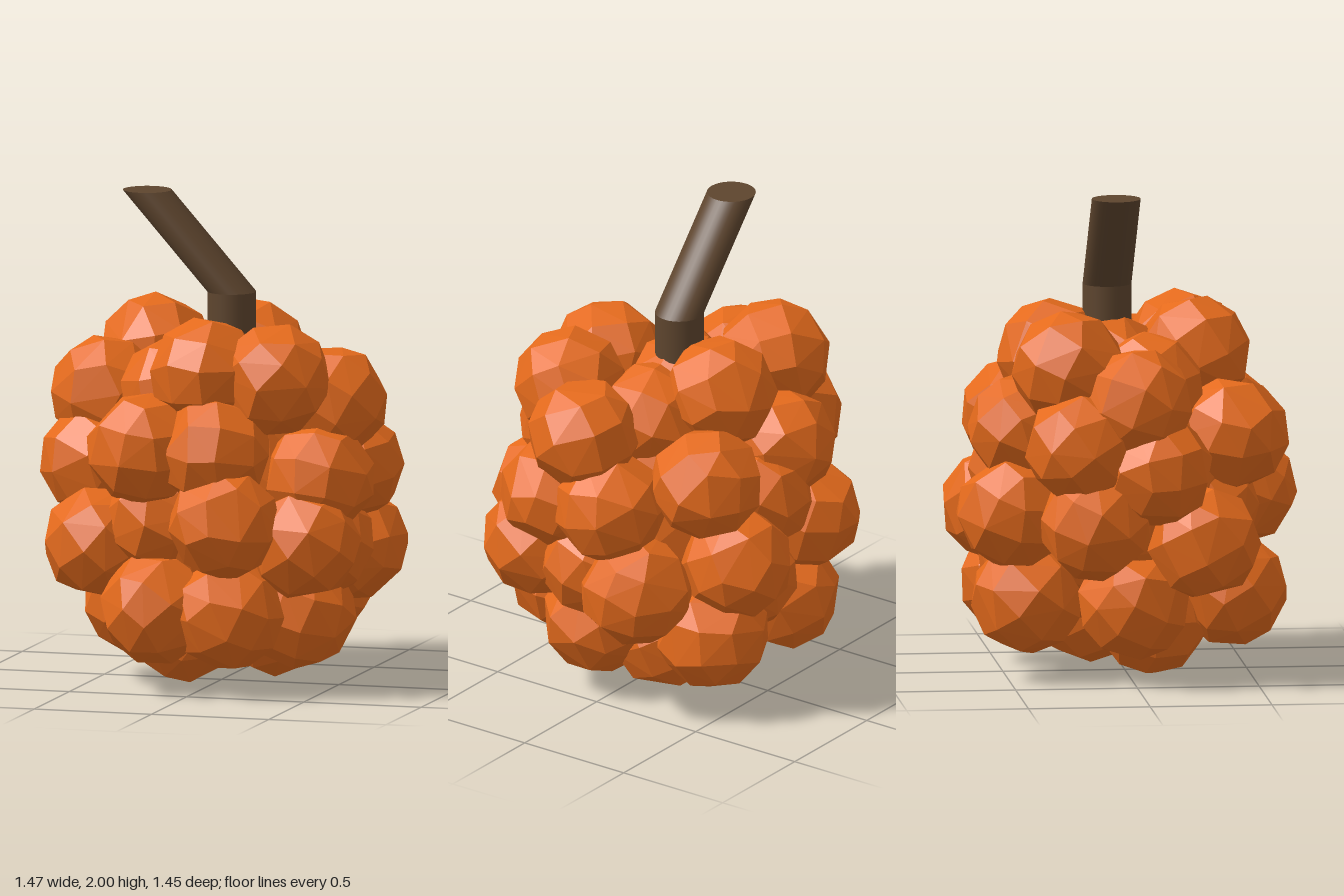
import * as THREE from 'three';
import { ConvexGeometry } from 'three/addons/geometries/ConvexGeometry.js';

// Centres of the drupelets, ring by ring from the bottom up
const RINGS = [
  [[-0.13, 0.235, 0.1], [0.19, 0.24, -0.12]],
  [[-0.15, 0.35, 0.42], [0.15, 0.34, 0.41], [0.36, 0.31, 0.09], [0.27, 0.34, -0.42],
   [-0.22, 0.34, -0.42], [-0.35, 0.33, 0.0], [0.02, 0.5, -0.38]],
  [[0.16, 0.72, 0.49], [0.45, 0.63, 0.33], [0.5, 0.56, -0.2], [0.22, 0.66, -0.5],
   [-0.28, 0.7, -0.49], [-0.5, 0.68, -0.17], [-0.44, 0.59, 0.28], [-0.17, 0.7, 0.3],
   [0.43, 0.6, 0.06]],
  [[-0.21, 1.0, 0.42], [0.09, 1.0, 0.41], [0.48, 0.88, 0.22], [0.51, 0.9, -0.08],
   [0.3, 1.02, -0.41], [-0.18, 1.03, -0.43], [-0.5, 1.0, -0.23], [-0.51, 0.9, 0.08],
   [-0.04, 0.85, -0.42]],
  [[0.02, 1.305, 0.29], [0.31, 1.29, 0.27], [0.49, 1.18, 0.07], [0.04, 1.3, -0.29],
   [-0.36, 1.31, -0.27], [-0.49, 1.17, 0.0], [-0.17, 1.19, 0.08], [0.19, 1.18, -0.06],
   [-0.02, 1.24, -0.06]],
];
const BERRY_RADIUS = 0.236;

function seeded(seed) {
  return () => {
    seed = (seed * 16807) % 2147483647;
    return seed / 2147483647;
  };
}

// Uneven faceted ball: hull of jittered points spiralling over a sphere
function facetedBall(radius, count, random) {
  const points = [];
  for (let i = 0; i < count; i++) {
    const polar = Math.acos(1 - (2 * (i + 0.5)) / count) + (random() - 0.5) * 0.16;
    const around = i * 2.39996 + (random() - 0.5) * 0.16;
    points.push(new THREE.Vector3().setFromSphericalCoords(radius, polar, around));
  }
  return new ConvexGeometry(points);
}

export function createModel() {
  const model = new THREE.Group();
  model.name = 'clusterFruit';
  const skin = new THREE.MeshStandardMaterial({ color: 0xe46a1c, flatShading: true });
  const bark = new THREE.MeshStandardMaterial({ color: 0x5e452e });
  const random = seeded(41);

  // Faceted drupelets, each turned a different way
  const berries = new THREE.Group();
  berries.name = 'drupelets';
  const berryShape = facetedBall(BERRY_RADIUS, 34, random);
  for (const centre of RINGS.flat()) {
    const berry = new THREE.Mesh(berryShape, skin);
    berry.name = 'drupelet';
    berry.position.set(...centre);
    berry.rotation.set(random() * 6.28, random() * 6.28, random() * 6.28);
    berries.add(berry);
  }
  model.add(berries);

  // Core that closes the gaps between the drupelets
  const core = new THREE.Mesh(new THREE.IcosahedronGeometry(1, 2), skin);
  core.name = 'core';
  core.scale.set(0.49, 0.58, 0.48);
  core.position.y = 0.75;
  model.add(core);

  // Stem: an upright foot and a slanted length with level ends
  const stem = new THREE.Group();
  stem.name = 'stem';
  const foot = new THREE.Mesh(new THREE.CylinderGeometry(0.1, 0.1, 0.4, 32), bark);
  foot.name = 'stemFoot';
  foot.position.y = 1.395;
  const slantShape = new THREE.CylinderGeometry(0.1, 0.1, 0.405, 32).translate(0, 0.2025, 0);
  slantShape.applyMatrix4(new THREE.Matrix4().makeShear(0, 0, -0.89, 0, 0, 0));
  const slant = new THREE.Mesh(slantShape, bark);
  slant.name = 'stemSlant';
  slant.position.y = 1.595;
  stem.add(foot, slant);
  stem.position.set(0.022, 0, -0.07);
  model.add(stem);

  return model;
}
